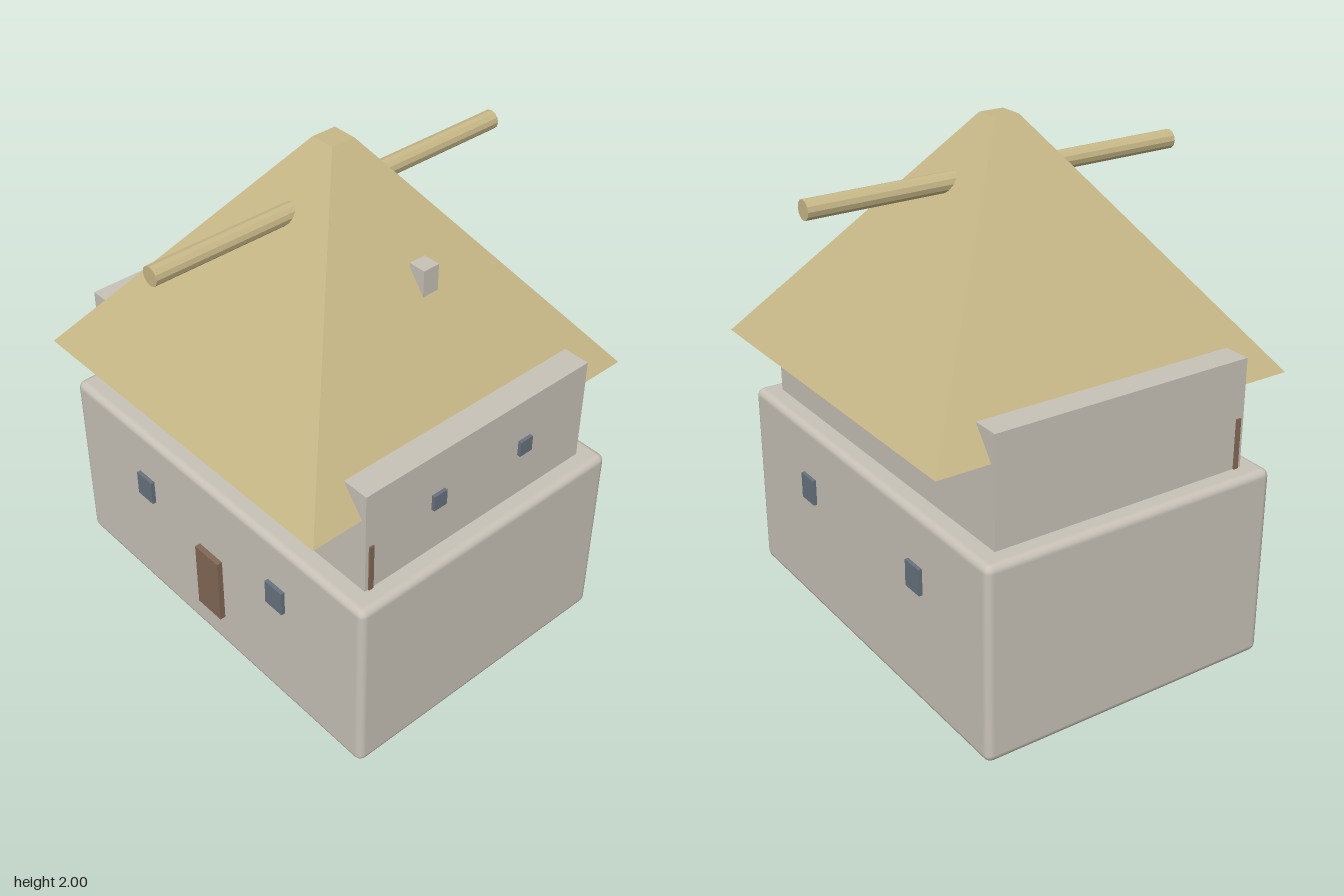
import * as THREE from 'three';
import { RoundedBoxGeometry } from 'three/addons/geometries/RoundedBoxGeometry.js';

export function createModel() {
  const house = new THREE.Group();
  house.name = 'house';

  const material = (name, color) => {
    const m = new THREE.MeshStandardMaterial({ color });
    m.name = name;
    return m;
  };
  const plaster = material('plaster', 0xc8c2b7);
  const thatch = material('thatch', 0xc8b888);
  const wood = material('wood', 0x836856);
  const glass = material('glass', 0x67737d);
  thatch.flatShading = true;

  const add = (name, geometry, mat, x, y, z) => {
    const mesh = new THREE.Mesh(geometry, mat);
    mesh.name = name;
    mesh.position.set(x, y, z);
    house.add(mesh);
    return mesh;
  };
  const box = (name, mat, w, h, d, x, y, z) =>
    add(name, new THREE.BoxGeometry(w, h, d), mat, x, y, z);

  // Ground floor with softened edges, upper floor set back on top
  add('groundFloor', new RoundedBoxGeometry(1.685, 0.78, 1.235, 2, 0.03), plaster, 0, 0.39, 0);
  box('upperFloor', plaster, 1.53, 0.45, 1.07, 0, 0.985, 0);

  // Truncated four-sided roof
  const roof = new THREE.CylinderGeometry(0.05 * Math.SQRT2, 0.745 * Math.SQRT2, 0.905, 4);
  roof.rotateY(Math.PI / 4);
  add('roof', roof, thatch, 0, 1.5475, 0);

  // Ridge beam passing through the roof from front to back
  const beam = new THREE.CylinderGeometry(0.037, 0.037, 1.56, 12);
  beam.rotateX(Math.PI / 2);
  add('ridgeBeam', beam, thatch, 0, 1.786, 0);

  box('chimney', plaster, 0.07, 0.14, 0.07, 0.373, 1.57, -0.082);

  // Front door and the narrow side doors
  box('frontDoor', wood, 0.135, 0.295, 0.03, 0, 0.3025, 0.626);
  for (const side of [-1, 1]) {
    box('sideDoor', wood, 0.01, 0.2, 0.02, side * 0.766, 0.88, 0.51);
  }

  // Ground floor windows, front and back
  for (const x of [-0.39, 0.39]) {
    for (const z of [-0.624, 0.626]) {
      box('groundWindow', glass, 0.092, 0.106, 0.016, x, 0.523, z);
    }
  }

  // Upper windows on the left wall
  for (const z of [-0.21, 0.213]) {
    box('upperWindow', glass, 0.014, 0.064, 0.06, 0.783, 1.018, z);
  }

  return house;
}
